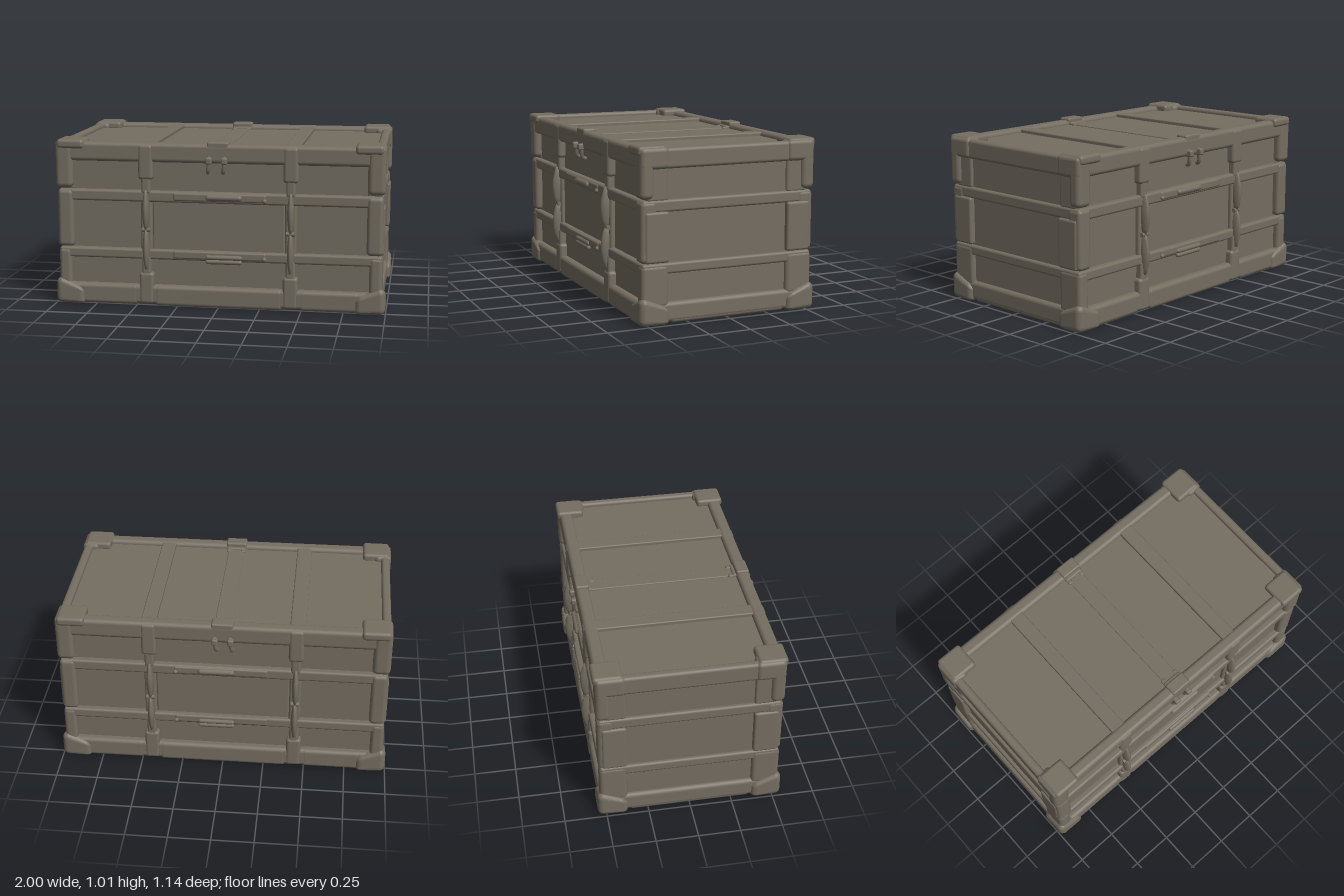
import * as THREE from 'three';
import { RoundedBoxGeometry } from 'three/addons/geometries/RoundedBoxGeometry.js';

export function createModel() {
  const crate = new THREE.Group();
  crate.name = 'crate';
  const shell = new THREE.MeshStandardMaterial({ color: 0x746d61 });
  shell.name = 'olive grey shell';

  const add = (name, geo, x = 0, y = 0, z = 0) => {
    const mesh = new THREE.Mesh(geo, shell);
    mesh.name = name;
    mesh.position.set(x, y, z);
    crate.add(mesh);
    return mesh;
  };
  // Rounded block given by its limits on each axis
  const block = (name, [x0, x1], [y0, y1], [z0, z1], r = 0.015) =>
    add(name, new RoundedBoxGeometry(x1 - x0, y1 - y0, z1 - z0, 3, r),
      (x0 + x1) / 2, (y0 + y1) / 2, (z0 + z1) / 2);
  // Range mirrored to the negative side when s is -1
  const side = (s, a, b) => (s > 0 ? [a, b] : [-b, -a]);

  // Recessed body
  add('body', new THREE.BoxGeometry(1.905, 0.938, 0.986), 0, 0.499, 0);

  // Two bands running all the way round
  for (const [y0, y1] of [[0.29, 0.352], [0.64, 0.708]]) {
    block('band', [-0.974, 0.974], [y0, y1], [-0.53, 0.53], 0.015);
  }

  // Edge rails of the lid and the base
  for (const s of [-1, 1]) {
    block('lidLongRail', [-0.97, 0.97], [0.88, 0.996], side(s, 0.455, 0.536), 0.025);
    block('lidEndRail', side(s, 0.925, 0.978), [0.88, 0.996], [-0.52, 0.52], 0.02);
    block('baseLongRail', [-0.97, 0.97], [0.012, 0.13], side(s, 0.44, 0.535), 0.025);
    block('baseEndRail', side(s, 0.89, 0.978), [0.012, 0.128], [-0.52, 0.52], 0.025);
    block('baseEndSkid', side(s, 0.89, 0.975), [0.005, 0.06], [-0.36, 0.36], 0.02);
    block('baseLongSkid', [-0.39, 0.39], [0.003, 0.13], side(s, 0.445, 0.537), 0.025);
    for (const sx of [-1, 1]) {
      block('baseOuterSkid', side(sx, 0.485, 0.85), [0.006, 0.13], side(s, 0.445, 0.536), 0.025);
    }

    // Cross ribs on the lid and underside
    block('lidRib', side(s, 0.392, 0.482), [0.94, 0.99], [-0.5, 0.5], 0.008);
    block('baseRib', side(s, 0.385, 0.488), [0.013, 0.06], [-0.5, 0.5], 0.008);
  }
  // Shallow centre ridge on the lid
  block('lidRidge', [-0.05, 0.05], [0.945, 0.975], [-0.46, 0.46], 0.006);

  // Corner armour
  const cornerCap = (sx, sz) => {
    const w = 0.18, h = 0.16, d = 0.18;
    const geo = new RoundedBoxGeometry(w, h, d, 4, 0.035);
    const p = geo.attributes.position;
    // Slope the top edge down away from the corner
    for (let i = 0; i < p.count; i++) {
      const tx = 0.5 - (sx * p.getX(i)) / w, tz = 0.5 - (sz * p.getZ(i)) / d;
      const up = p.getY(i) / h + 0.5;
      p.setY(i, p.getY(i) - 0.07 * up * Math.max(0, Math.max(tx, tz) - 0.4) / 0.6);
    }
    geo.computeVertexNormals();
    add('baseCornerCap', geo, sx * 0.908, 0.081, sz * 0.461);
  };
  for (const sx of [-1, 1]) {
    for (const sz of [-1, 1]) {
      block('lidCornerPost', side(sx, 0.882, 0.988), [0.715, 1.0], side(sz, 0.46, 0.543), 0.03);
      block('lidCornerWeb', side(sx, 0.88, 0.968), [0.7, 0.9], side(sz, 0.37, 0.5));
      block('lidCornerSide', side(sx, 0.885, 0.988), [0.88, 1.002], side(sz, 0.37, 0.542), 0.025);
      block('lidCornerCap', side(sx, 0.81, 0.975), [0.955, 1.01], side(sz, 0.382, 0.552), 0.02);
      block('middleCornerPost', side(sx, 0.885, 0.985), [0.356, 0.645], side(sz, 0.37, 0.515), 0.015);
      block('middleCornerEdge', side(sx, 0.882, 0.978), [0.355, 0.705], side(sz, 0.44, 0.538), 0.025);
      block('lowerCornerPost', side(sx, 0.9, 0.978), [0.1, 0.345], side(sz, 0.37, 0.535), 0.025);
      cornerCap(sx, sz);
    }
  }

  // Latch lever: a bowed spindle, bulging towards its grip
  const leverProfile = [[0, -0.122], [0.4, -0.118], [0.72, -0.09], [0.95, -0.04], [1, 0],
    [0.95, 0.04], [0.65, 0.085], [0.4, 0.118], [0, 0.122]];
  const leverGeo = new THREE.LatheGeometry(leverProfile.map(([r, y]) => new THREE.Vector2(r, y)), 16);

  // Fittings on the two long faces
  for (const sz of [-1, 1]) {
    block('centrePanel', [-0.4, 0.4], [0.34, 0.65], side(sz, 0.46, 0.502), 0.01);

    for (const sx of [-1, 1]) {
      const x = sx * 0.435;
      // Bosses above and below each latch
      block('latchUpperBoss', [x - 0.045, x + 0.045], [0.775, 0.988], side(sz, 0.45, 0.541), 0.02);
      block('latchUpperTab', [x - 0.028, x + 0.028], [0.69, 0.8], side(sz, 0.45, 0.535));
      block('latchLowerBoss', [x - 0.045, x + 0.045], [0.015, 0.21], side(sz, 0.45, 0.54), 0.02);
      block('latchLowerTab', [x - 0.028, x + 0.028], [0.18, 0.31], side(sz, 0.45, 0.535));
      block('latchBacking', [x - 0.035, x + 0.035], [0.33, 0.66], side(sz, 0.46, 0.522));
      // Two mirrored levers meeting in the middle
      for (const s of [-1, 1]) {
        const lever = add('latchLever', leverGeo, x, 0.472 + s * 0.122, sz * 0.53);
        lever.scale.set(0.021, 1, 0.04);
        if (s < 0) lever.rotation.x = Math.PI;
      }
      add('latchPivot', new THREE.CylinderGeometry(0.014, 0.014, 0.05, 12).rotateZ(Math.PI / 2),
        x, 0.472, sz * 0.53);
    }

    // Carry handles and their mounts
    for (const [y, r] of [[0.678, 0.019], [0.316, 0.015], [0.29, 0.015]]) {
      add('handle', new THREE.CapsuleGeometry(r, 0.22 - 2 * r, 6, 12).rotateZ(Math.PI / 2),
        0.037, y, sz * 0.534);
    }
    for (const y of [0.677, 0.325]) {
      block('handleMount', [-0.27, 0.29], [y - 0.025, y + 0.025], side(sz, 0.49, 0.536), 0.012);
      const knob = add('mountKnob', new THREE.SphereGeometry(0.014, 12, 8), 0.28, y - 0.012, sz * 0.536);
      knob.scale.z = 0.8;
    }

    // Lock hasp with a pair of hooks
    for (const x of [-0.05, 0.042]) {
      const path = new THREE.CatmullRomCurve3([
        [x, 0.92, 0.525], [x, 0.905, 0.54], [x, 0.88, 0.54],
        [x - 0.008, 0.835, 0.532], [x - 0.012, 0.825, 0.51],
      ].map(([a, b, c]) => new THREE.Vector3(a, b, c * sz)));
      add('haspHook', new THREE.TubeGeometry(path, 16, 0.012, 8));
      block('haspBracket', [x - 0.018, x + 0.018], [0.88, 0.92], side(sz, 0.515, 0.566), 0.01);
    }

    // Hinge clasp over the lid rail
    block('lidClasp', [-0.065, 0.065], [0.965, 1.01], side(sz, 0.455, 0.535), 0.012);
    block('lidClaspBar', [-0.06, 0.06], [0.95, 0.985], side(sz, 0.435, 0.465), 0.01);
    for (const x of [-0.045, 0.045]) {
      block('lidClaspFoot', [x - 0.015, x + 0.015], [0.945, 0.98], side(sz, 0.41, 0.46), 0.008);
    }
  }
  return crate;
}
